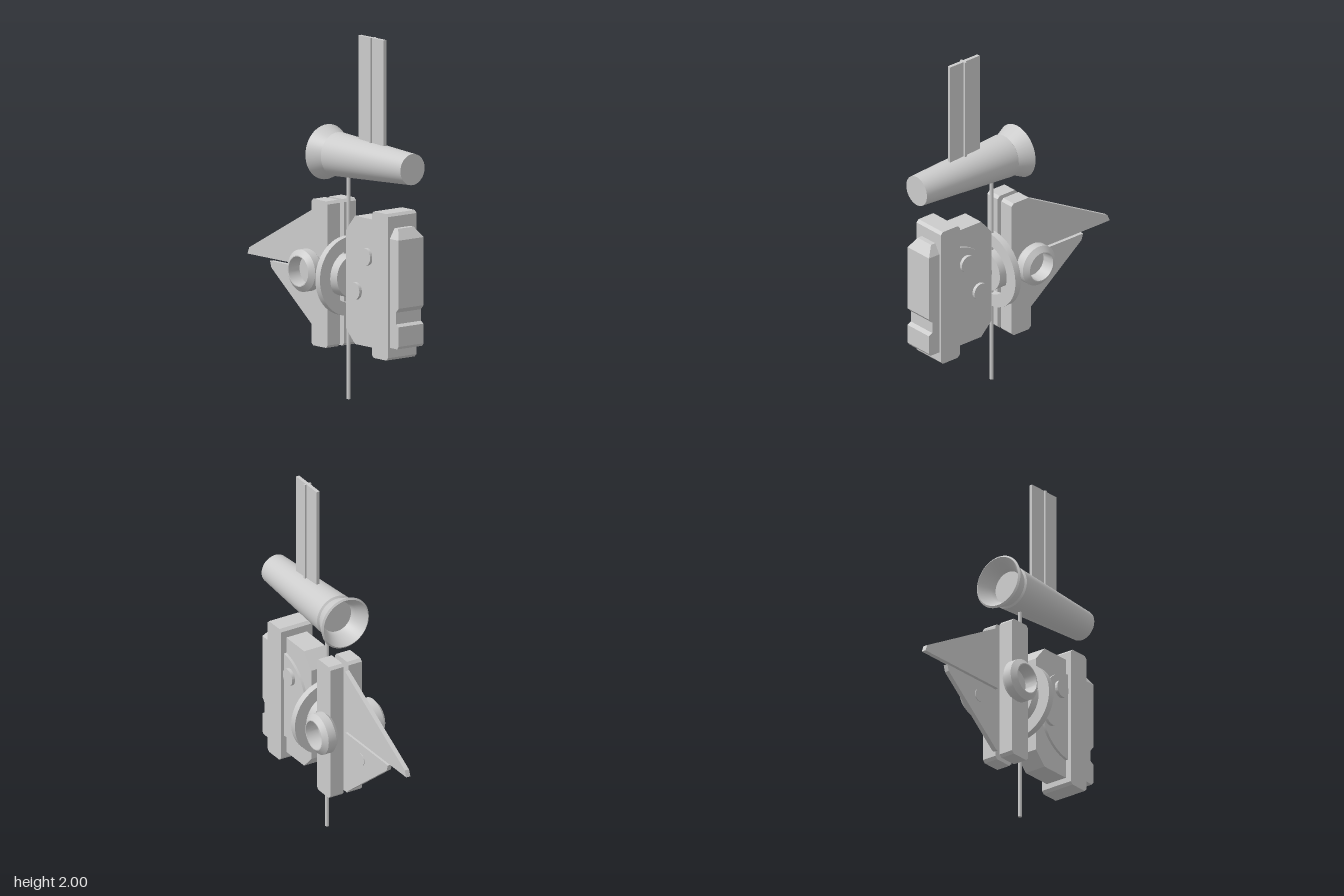
import * as THREE from 'three';
import { toCreasedNormals } from 'three/addons/utils/BufferGeometryUtils.js';

const grey = new THREE.MeshStandardMaterial({ color: 0xcccccc });

// Box-like part from a side profile of [z, y] points, spanning x0..x1
function slab(points, x0, x1) {
  const shape = new THREE.Shape(points.map(([z, y]) => new THREE.Vector2(z, y)));
  return new THREE.ExtrudeGeometry(shape, { depth: x1 - x0, bevelEnabled: false })
    .rotateY(-Math.PI / 2).translate(x1, 0, 0);
}

// Rectangle profile with cut corners
function cutRect(z0, z1, y0, y1, c) {
  return [[z0 + c, y0], [z1 - c, y0], [z1, y0 + c], [z1, y1 - c],
    [z1 - c, y1], [z0 + c, y1], [z0, y1 - c], [z0, y0 + c]];
}

// Turned part from [radius, height] points, smooth around and sharp at the edges
function turned(points, segments = 48) {
  const lathe = new THREE.LatheGeometry(points.map(([r, h]) => new THREE.Vector2(r, h)), segments);
  return toCreasedNormals(lathe, 0.35);
}

const drum = (r, h0, h1) => turned([[0, h0], [r, h0], [r, h1], [0, h1]]);

export function createModel() {
  const model = new THREE.Group();
  const add = (name, geometry, x = 0, y = 0, z = 0) => {
    const mesh = new THREE.Mesh(geometry, grey);
    mesh.name = name;
    mesh.position.set(x, y, z);
    model.add(mesh);
    return mesh;
  };

  // Mast with a thin cross rib
  add('mastBlade', new THREE.BoxGeometry(0.02, 0.58, 0.21), 0, 1.71, 0.345);
  add('mastRib', new THREE.BoxGeometry(0.042, 0.58, 0.012), 0, 1.71, 0.348);

  // Tapered barrel with a flared, hollow rear bell
  add('barrel', turned([
    [0, 0.05], [0.09, 0.05], [0.1, 0.02], [0.14, -0.043], [0.15, -0.035],
    [0.11, 0.05], [0.12, 0.058], [0.085, 0.68], [0, 0.68],
  ]).rotateX(Math.PI / 2), 0, 1.325, 0);

  // Vertical rod
  add('rod', new THREE.CylinderGeometry(0.011, 0.011, 1.23, 16), 0, 0.615, 0.148);

  // Wheel ring, hub and axle around the rod
  add('wheelRing', turned([
    [0.145, 0.127], [0.217, 0.127], [0.217, 0.166], [0.145, 0.166], [0.145, 0.127],
  ], 64).rotateX(Math.PI / 2), 0, 0.674, 0);
  add('wheelHub', drum(0.115, 0.108, 0.188).rotateX(Math.PI / 2), 0, 0.674, 0);
  add('axle', drum(0.05, 0.06, 0.215).rotateX(Math.PI / 2), 0, 0.68, 0);

  // Front block: main plate, raised cover and its tapered cap
  add('frontPlate', slab(cutRect(0.46, 0.595, 0.28, 1.08, 0.015), -0.1, 0.1));
  add('frontCover', slab([
    [0.59, 0.35], [0.657, 0.35], [0.668, 0.365], [0.668, 0.472], [0.645, 0.485],
    [0.645, 0.548], [0.668, 0.573], [0.668, 0.945], [0.59, 0.945],
  ], -0.088, 0.088));
  const cap = slab([[0.59, 0.945], [0.668, 0.945], [0.625, 1], [0.59, 1]], -0.088, 0.088);
  const pos = cap.attributes.position;
  for (let i = 0; i < pos.count; i++) if (pos.getY(i) > 0.99) pos.setX(i, pos.getX(i) * 0.62);
  cap.computeVertexNormals();
  add('frontCap', cap);

  // Cut-corner plate behind the front block
  add('innerPlate', slab([
    [0.47, 0.325], [0.47, 1.025], [0.278, 1.025], [0.204, 0.94], [0.204, 0.4], [0.278, 0.325],
  ], -0.065, 0.065));

  // Part-round cheek discs, ending inside the front plate
  const arc = new THREE.Path().absarc(0.4885, 0.68, 0.2535, Math.PI * 0.535, Math.PI * 1.465)
    .getPoints(32).map((p) => [p.x, p.y]);
  add('cheekDiscs', toCreasedNormals(slab(arc, -0.08, 0.08), 0.35));

  // Round studs through both cheeks
  for (const [z, y] of [[0.395, 0.82], [0.305, 0.622]]) {
    add('stud', drum(0.048, -0.098, 0.098).rotateZ(-Math.PI / 2), 0, y, z);
  }

  // Paired rear pillars, each with a hollow round boss outside
  for (const side of [-1, 1]) {
    const [x0, x1] = side > 0 ? [0.015, 0.1] : [-0.1, -0.015];
    add('rearPillar', slab(cutRect(-0.045, 0.092, 0.28, 1.08, 0.015), x0, x1));
    add('sideBoss', turned([
      [0, 0.095], [0.095, 0.105], [0.115, 0.128], [0.115, 0.176],
      [0.085, 0.2], [0.08, 0.2], [0.076, 0.125], [0, 0.125],
    ]).rotateZ(-side * Math.PI / 2), 0, 0.695, -0.037);
  }

  // Tail fins and the small round boss on the lower one
  add('upperFin', slab([
    [-0.055, 0.682], [-0.055, 1.042], [-0.665, 0.718], [-0.68, 0.682],
  ], -0.013, 0.013));
  add('lowerFin', slab([
    [-0.06, 0.668], [-0.492, 0.668], [-0.48, 0.632], [-0.072, 0.313], [-0.06, 0.313],
  ], -0.013, 0.013));
  add('finBoss', drum(0.033, -0.017, 0.017).rotateZ(-Math.PI / 2), 0, 0.58, -0.222);

  return model;
}
